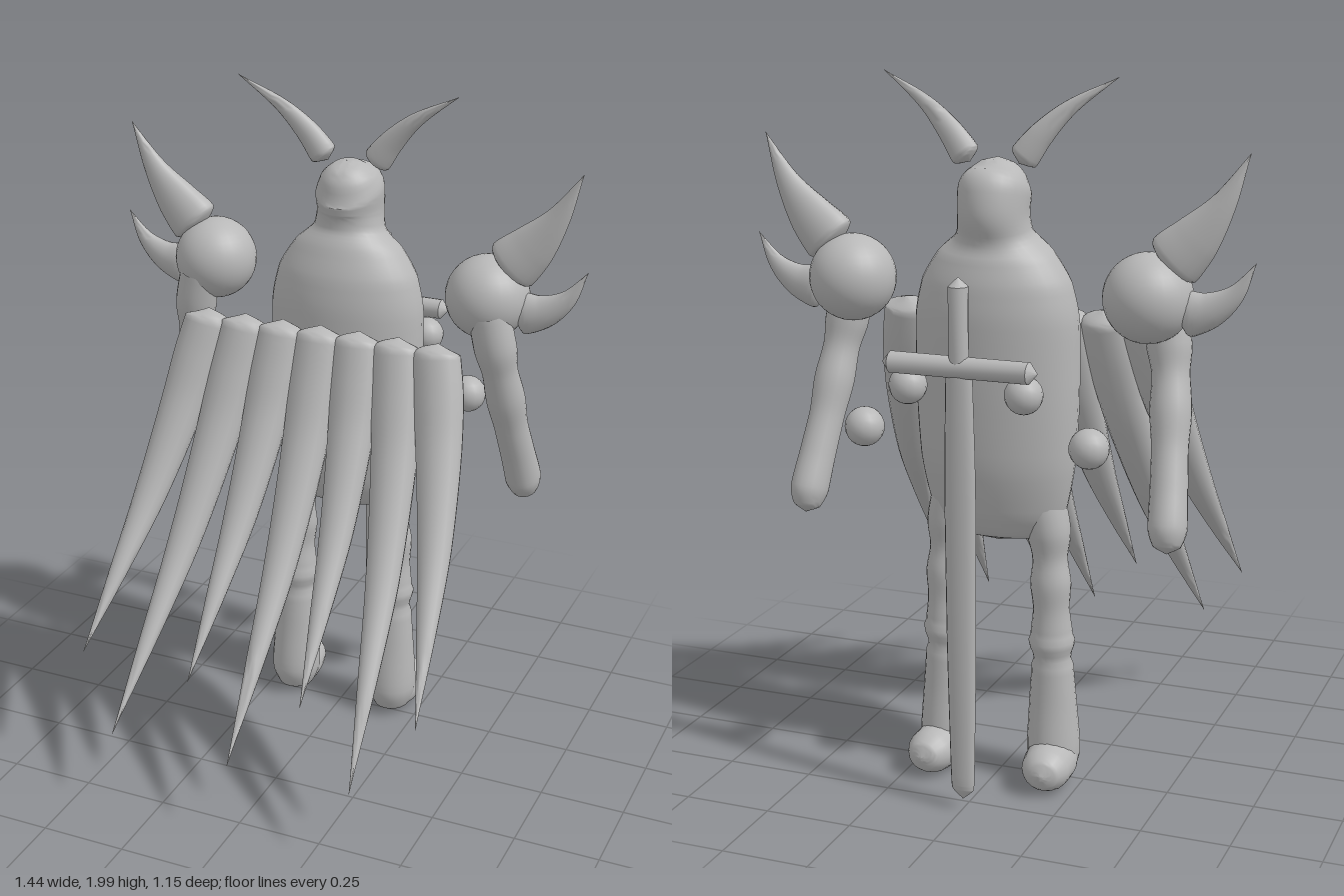
import * as THREE from 'three';
import { toCreasedNormals } from 'three/addons/utils/BufferGeometryUtils.js';

const grey = new THREE.MeshStandardMaterial({ color: 0xb8b8b8 });
grey.name = 'plain grey';
const X = new THREE.Vector3(1, 0, 0);
const Z = new THREE.Vector3(0, 0, 1);

// Sweeps an ellipse along keys [x, y, z, radius along axis, other radius]
function sweep(keys, axis, steps = 30, sides = 20) {
  const path = new THREE.CatmullRomCurve3(keys.map(k => new THREE.Vector3(k[0], k[1], k[2])));
  const radii = new THREE.CatmullRomCurve3(keys.map(k => new THREE.Vector3(k[3], k[4], 0)));
  const pos = [], index = [];
  for (let i = 0; i <= steps; i++) {
    const t = i / steps;
    const c = path.getPoint(t), r = radii.getPoint(t), dir = path.getTangent(t);
    const u = axis.clone().addScaledVector(dir, -axis.dot(dir)).normalize();
    const v = dir.clone().cross(u);
    for (let j = 0; j < sides; j++) {
      const a = (j / sides) * Math.PI * 2;
      const p = c.clone()
        .addScaledVector(u, Math.max(r.x, 0.0005) * Math.cos(a))
        .addScaledVector(v, Math.max(r.y, 0.0005) * Math.sin(a));
      pos.push(p.x, p.y, p.z);
      if (i < steps) {
        const k = (j + 1) % sides, n = i * sides, m = n + sides;
        index.push(n + j, n + k, m + j, n + k, m + k, m + j);
      }
    }
  }
  const g = new THREE.BufferGeometry();
  g.setAttribute('position', new THREE.Float32BufferAttribute(pos, 3));
  g.setIndex(index);
  return toCreasedNormals(g, 0.9);
}

export function createModel() {
  const model = new THREE.Group();
  model.name = 'hornedWarrior';
  const add = (name, geometry, x = 0, y = 0, z = 0) => {
    const mesh = new THREE.Mesh(geometry, grey);
    mesh.name = name;
    mesh.position.set(x, y, z);
    model.add(mesh);
    return mesh;
  };

  // Torso, neck and head as one smooth form
  add('body', sweep([
    [0, 0.71, -0.27, 0, 0],
    [0, 0.735, -0.268, 0.14, 0.07],
    [0, 0.80, -0.267, 0.195, 0.1],
    [0, 0.95, -0.272, 0.225, 0.13],
    [0, 1.15, -0.272, 0.235, 0.143],
    [0, 1.34, -0.273, 0.234, 0.148],
    [0, 1.45, -0.275, 0.212, 0.14],
    [0, 1.53, -0.28, 0.162, 0.117],
    [0, 1.585, -0.288, 0.104, 0.1],
    [0, 1.64, -0.294, 0.096, 0.112],
    [0, 1.69, -0.286, 0.098, 0.113],
    [0, 1.74, -0.268, 0.078, 0.082],
    [0, 1.77, -0.262, 0.043, 0.045],
    [0, 1.782, -0.26, 0, 0],
  ], X, 65, 32));

  for (const s of [1, -1]) {
    const side = s > 0 ? 'left' : 'right';
    // Leg with slightly lumpy outline, and a forward foot
    add(side + 'Leg', sweep([
      [s * 0.13, 0.86, -0.27, 0.06, 0.07],
      [s * 0.15, 0.75, -0.27, 0.062, 0.062],
      [s * 0.155, 0.67, -0.272, 0.05, 0.047],
      [s * 0.158, 0.60, -0.275, 0.058, 0.052],
      [s * 0.16, 0.53, -0.275, 0.052, 0.048],
      [s * 0.16, 0.45, -0.272, 0.06, 0.056],
      [s * 0.162, 0.36, -0.27, 0.06, 0.056],
      [s * 0.163, 0.25, -0.268, 0.068, 0.062],
      [s * 0.165, 0.10, -0.267, 0.076, 0.076],
      [s * 0.166, 0.035, -0.268, 0.055, 0.055],
      [s * 0.166, 0.01, -0.27, 0, 0],
    ], X, 50));
    add(side + 'Foot', sweep([
      [s * 0.165, 0.08, -0.21, 0, 0],
      [s * 0.167, 0.08, -0.24, 0.06, 0.055],
      [s * 0.17, 0.078, -0.3, 0.074, 0.068],
      [s * 0.177, 0.077, -0.37, 0.068, 0.062],
      [s * 0.182, 0.077, -0.41, 0.044, 0.04],
      [s * 0.184, 0.077, -0.426, 0, 0],
    ], X));

    // Shoulder ball and arm reaching down and forward
    add(side + 'Shoulder', new THREE.SphereGeometry(0.122, 28, 20), s * 0.43, 1.43, -0.277);
    add(side + 'Arm', sweep([
      [s * 0.455, 1.40, -0.22, 0.06, 0.06],
      [s * 0.475, 1.30, -0.227, 0.062, 0.06],
      [s * 0.487, 1.22, -0.245, 0.052, 0.053],
      [s * 0.497, 1.13, -0.275, 0.057, 0.058],
      [s * 0.507, 1.03, -0.31, 0.05, 0.052],
      [s * 0.518, 0.93, -0.35, 0.051, 0.054],
      [s * 0.527, 0.84, -0.386, 0.053, 0.059],
      [s * 0.53, 0.79, -0.402, 0.037, 0.04],
      [s * 0.531, 0.772, -0.408, 0, 0],
    ], X, 48));

    // Horns: large and small on the shoulder, one on the head
    add(side + 'ShoulderHorn', sweep([
      [s * 0.475, 1.508, -0.275, 0, 0],
      [s * 0.5, 1.535, -0.275, 0.052, 0.08],
      [s * 0.557, 1.595, -0.275, 0.042, 0.067],
      [s * 0.625, 1.685, -0.272, 0.025, 0.036],
      [s * 0.695, 1.82, -0.265, 0, 0],
    ], Z, 28, 16));
    add(side + 'ShoulderSpike', sweep([
      [s * 0.51, 1.39, -0.277, 0, 0],
      [s * 0.54, 1.395, -0.277, 0.04, 0.062],
      [s * 0.60, 1.41, -0.277, 0.032, 0.048],
      [s * 0.665, 1.455, -0.277, 0.018, 0.026],
      [s * 0.72, 1.54, -0.277, 0, 0],
    ], Z, 28, 16));
    add(side + 'HeadHorn', sweep([
      [s * 0.07, 1.768, -0.287, 0, 0],
      [s * 0.085, 1.788, -0.285, 0.032, 0.042],
      [s * 0.13, 1.846, -0.28, 0.026, 0.035],
      [s * 0.205, 1.918, -0.268, 0.015, 0.021],
      [s * 0.335, 2.0, -0.25, 0, 0],
    ], Z, 28, 16));

    // Orbs floating before the chest
    add(side + 'InnerOrb', new THREE.SphereGeometry(0.052, 16, 12), s * 0.165, 1.195, -0.503);
    add(side + 'OuterOrb', new THREE.SphereGeometry(0.055, 16, 12), s * 0.325, 1.05, -0.441);
  }

  // Cape of seven long curved feathers
  const tips = [[0, 0.25, 0.575], [0.175, 0.42, 0.465], [0.37, 0.255, 0.57], [0.518, 0.435, 0.46]];
  for (let i = -3; i <= 3; i++) {
    const s = Math.sign(i), x = i * 0.119;
    const [tx, ty, tz] = tips[Math.abs(i)];
    const at = (f, z, r, d) => [x + (s * tx - x) * f, 1.32 + (ty - 1.32) * f, -0.07 + (tz + 0.07) * z, r, d];
    add('capeFeather', sweep([
      [x, 1.345, -0.08, 0, 0],
      [x, 1.315, -0.07, 0.07, 0.05],
      at(0.13, 0.065, 0.073, 0.055),
      at(0.29, 0.17, 0.067, 0.054),
      at(0.56, 0.42, 0.049, 0.042),
      at(0.78, 0.7, 0.027, 0.023),
      at(1, 1, 0, 0),
    ], X, 36, 16));
  }

  // Upright sword: flat blade, crossguard and grip
  add('swordBlade', sweep([
    [0, 1.26, -0.545, 0.038, 0.018],
    [0, 0.9, -0.545, 0.045, 0.019],
    [0, 0.5, -0.545, 0.043, 0.019],
    [0, 0.085, -0.545, 0.034, 0.014],
    [0, 0.07, -0.545, 0.032, 0.012],
    [0, 0.04, -0.545, 0, 0],
  ], X, 40, 12));
  const rod = (r, half) => {
    const pts = [[0, -half], [r, -half + 0.025], [r, half - 0.025], [0, half]];
    return toCreasedNormals(new THREE.LatheGeometry(pts.map(p => new THREE.Vector2(...p)), 12), 0.7);
  };
  add('swordGuard', rod(0.03, 0.22), 0, 1.265, -0.545).rotation.z = Math.PI / 2;
  add('swordGrip', rod(0.027, 0.13), 0, 1.375, -0.545);

  return model;
}
